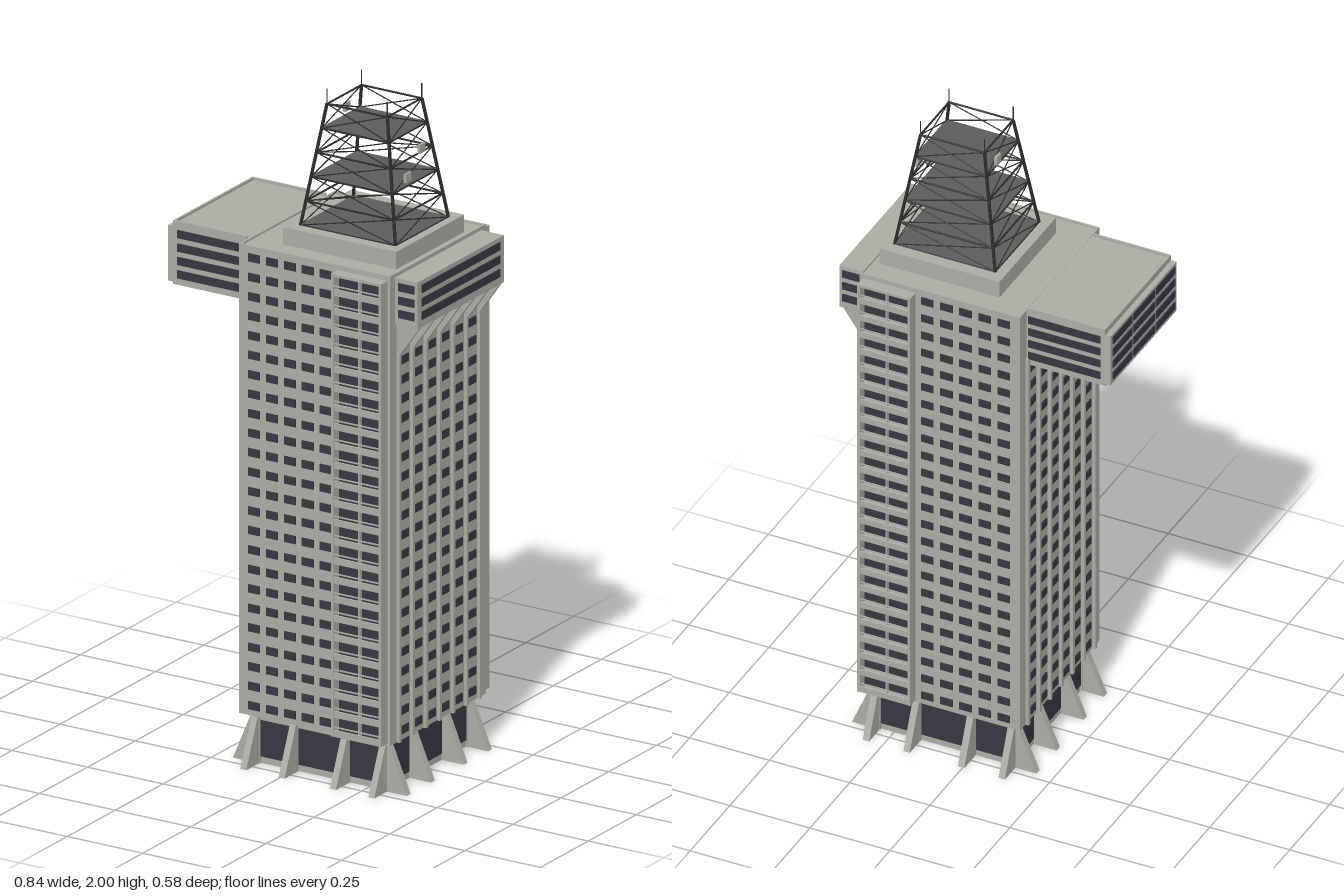
import * as THREE from 'three';
import { mergeGeometries } from 'three/addons/utils/BufferGeometryUtils.js';

const CX = 0.09, CZ = -0.005; // tower axis
const FLOORS = 24, PITCH = 0.0581, FIRST = 0.18;

const makeMat = (name, color) => Object.assign(new THREE.MeshStandardMaterial({ color }), { name });

// box from min/max limits
function box(x0, x1, y0, y1, z0, z1) {
  return new THREE.BoxGeometry(x1 - x0, y1 - y0, z1 - z0)
    .translate((x0 + x1) / 2, (y0 + y1) / 2, (z0 + z1) / 2);
}

// round bar between two points
function bar(a, b, r) {
  const d = new THREE.Vector3().subVectors(b, a);
  const q = new THREE.Quaternion().setFromUnitVectors(new THREE.Vector3(0, 1, 0), d.clone().normalize());
  const m = a.clone().add(b).multiplyScalar(0.5);
  return new THREE.CylinderGeometry(r, r, d.length(), 5).applyQuaternion(q).translate(m.x, m.y, m.z);
}

// upright plate with an (x, y) outline, centred on z = 0
function plate(points, depth) {
  const shape = new THREE.Shape(points.map(p => new THREE.Vector2(...p)));
  return new THREE.ExtrudeGeometry(shape, { depth, bevelEnabled: false }).translate(0, 0, -depth / 2);
}

export function createModel() {
  const root = new THREE.Group();
  root.name = 'towerBlock';
  const concrete = makeMat('concrete', 0xacaca5);
  const glass = makeMat('darkGlass', 0x383642);
  const steel = makeMat('darkSteel', 0x2e2e2f);
  const deckGrey = makeMat('deckGrey', 0x5c5c5c);
  const add = (name, mat, geos) => {
    const mesh = new THREE.Mesh(mergeGeometries(geos), mat);
    mesh.name = name;
    root.add(mesh);
  };

  // lobby with glazing and splayed fins on all four sides
  add('lobby', concrete, [box(CX - 0.215, CX + 0.215, 0, 0.15, CZ - 0.215, CZ + 0.215)]);
  const fins = [], lobbyGlass = [];
  for (let k = 0; k < 4; k++) {
    const place = g => g.rotateY(k * Math.PI / 2).translate(CX, 0, CZ);
    for (const t of [-0.212, -0.085, 0.085, 0.212]) {
      fins.push(place(plate([[0.2, 0], [0.288, 0], [0.225, 0.15], [0.2, 0.15]], 0.02).translate(0, 0, t)));
    }
    for (const [a, b] of [[-0.2, -0.097], [-0.073, 0.073], [0.097, 0.2]]) {
      lobbyGlass.push(place(box(0.213, 0.218, 0.02, 0.128, a, b)));
    }
  }
  add('lobbyFins', concrete, fins);
  add('lobbyWindows', glass, lobbyGlass);

  // main shaft and roof rim
  add('shaft', concrete, [box(-0.16, 0.34, 0.15, 1.545, CZ - 0.25, CZ + 0.25)]);
  const rim = [];
  for (const s of [-1, 1]) {
    rim.push(box(-0.16, 0.34, 1.545, 1.551, CZ + s * 0.247 - 0.003, CZ + s * 0.247 + 0.003));
    rim.push(box(CX + s * 0.247 - 0.003, CX + s * 0.247 + 0.003, 1.545, 1.551, CZ - 0.244, CZ + 0.244));
  }
  add('roofRim', concrete, rim);

  // windows on all faces
  const frontBack = [], sides = [];
  for (let f = 0; f < FLOORS; f++) {
    const y = FIRST + f * PITCH;
    for (const s of [-1, 1]) {
      const z = CZ + s * 0.25;
      for (let c = 0; c < 5; c++) {
        const x = -0.11 + c * 0.0595;
        frontBack.push(box(x - 0.019, x + 0.019, y - 0.012, y + 0.012, z - 0.003, z + 0.003));
      }
      if (y > 1.39) continue;
      const x = CX + s * 0.25;
      for (let c = 0; c < 6; c++) {
        const zc = CZ + (c - 2.5) * 0.07;
        sides.push(box(x - 0.004, x + 0.004, y - 0.012, y + 0.012, zc - 0.019, zc + 0.019));
      }
    }
  }
  add('frontAndBackWindows', glass, frontBack);
  add('sideWindows', glass, sides);

  // vertical ribs on both sides, with brackets under the right overhang
  const ribs = [], brackets = [];
  for (let i = -3; i <= 3; i++) {
    const z = CZ + i * 0.07;
    for (const s of [-1, 1]) {
      const x = CX + s * 0.25;
      ribs.push(box(x - 0.01, x + 0.01, 0.15, 1.39, z - 0.005, z + 0.005));
    }
    brackets.push(plate([[0.335, 1.29], [0.345, 1.3], [0.415, 1.4], [0.335, 1.4]], 0.01).translate(0, 0, z));
  }
  add('sideRibs', concrete, ribs);
  add('overhangBrackets', concrete, brackets);

  // balcony stacks, front and back
  const walls = [], parapets = [], balconyGlass = [], rails = [];
  for (const s of [-1, 1]) {
    const zBox = (x0, x1, y0, y1, a, b) =>
      box(x0, x1, y0, y1, Math.min(CZ + s * a, CZ + s * b), Math.max(CZ + s * a, CZ + s * b));
    for (const x of [0.17, 0.327]) walls.push(zBox(x - 0.004, x + 0.004, 0.155, 1.535, 0.245, 0.284));
    walls.push(zBox(0.246, 0.25, 0.155, 1.53, 0.245, 0.268));
    walls.push(zBox(0.166, 0.331, 1.528, 1.536, 0.245, 0.284));
    balconyGlass.push(zBox(0.174, 0.323, 0.16, 1.528, 0.248, 0.254));
    for (let f = 0; f < FLOORS; f++) {
      const y = 0.155 + f * PITCH * 0.985;
      parapets.push(zBox(0.172, 0.325, y, y + 0.006, 0.25, 0.282));
      parapets.push(zBox(0.172, 0.325, y, y + 0.019, 0.276, 0.282));
      rails.push(zBox(0.172, 0.325, y + 0.026, y + 0.03, 0.278, 0.281));
    }
  }
  add('balconyWalls', concrete, walls);
  add('balconyParapets', concrete, parapets);
  add('balconyRails', concrete, rails);
  add('balconyWindows', glass, balconyGlass);

  // right overhanging box with three window bands
  add('rightOverhang', concrete, [box(0.335, 0.415, 1.4, 1.54, -0.232, 0.22)]);
  const rightBands = [];
  for (const y of [1.435, 1.475, 1.515]) {
    rightBands.push(box(0.412, 0.418, y - 0.012, y + 0.012, -0.21, 0.2));
    for (const z of [-0.232, 0.22]) {
      rightBands.push(box(0.352, 0.405, y - 0.012, y + 0.012, z - 0.003, z + 0.003));
    }
  }
  add('rightOverhangWindows', glass, rightBands);

  // left projecting wing with four window bands and a thinner end bay
  add('leftWing', concrete, [
    box(-0.405, -0.155, 1.368, 1.55, -0.212, 0.203),
    box(-0.422, -0.4, 1.375, 1.54, -0.212, 0.203),
  ]);
  add('leftWingRim', concrete, [
    box(-0.405, -0.16, 1.55, 1.558, -0.212, -0.206),
    box(-0.405, -0.16, 1.55, 1.558, 0.197, 0.203),
    box(-0.405, -0.399, 1.55, 1.558, -0.206, 0.197),
  ]);
  const leftBands = [];
  for (const y of [1.4, 1.44, 1.48, 1.52]) {
    for (const z of [-0.212, 0.203]) {
      leftBands.push(box(-0.39, -0.165, y - 0.012, y + 0.012, z - 0.003, z + 0.003));
    }
    for (const [a, b] of [[-0.2, -0.08], [-0.07, 0.06], [0.07, 0.19]]) {
      leftBands.push(box(-0.425, -0.419, y - 0.012, y + 0.012, a, b));
    }
  }
  add('leftWingWindows', glass, leftBands);

  // roof plinth
  add('roofPlinth', concrete, [box(-0.06, 0.315, 1.54, 1.597, -0.182, 0.173)]);

  // tapering lattice mast
  const Y0 = 1.597, Y1 = 1.955, LEVELS = 5;
  const corner = (level, i) => {
    const t = level / LEVELS;
    const hx = 0.157 - 0.057 * t, hz = 0.138 - 0.048 * t;
    const [sx, sz] = [[-1, -1], [1, -1], [1, 1], [-1, 1]][i % 4];
    return new THREE.Vector3(0.13 + sx * hx, Y0 + (Y1 - Y0) * t, CZ + sz * hz);
  };
  const legs = [], braces = [];
  for (let i = 0; i < 4; i++) {
    const top = corner(LEVELS, i);
    legs.push(bar(corner(0, i), top, 0.005));
    legs.push(bar(top, top.clone().setY(2), 0.002));
    for (let l = 0; l <= LEVELS; l++) {
      braces.push(bar(corner(l, i), corner(l, i + 1), 0.003));
      if (l === LEVELS) continue;
      braces.push(bar(corner(l, i), corner(l + 1, i + 1), 0.0018));
      braces.push(bar(corner(l, i + 1), corner(l + 1, i), 0.0018));
    }
  }
  add('mastLegs', steel, legs);
  add('mastBraces', steel, braces);
  add('mastDecks', deckGrey, [0, 2, 4].map(l => {
    const a = corner(l, 0), b = corner(l, 2);
    return box(a.x, b.x, a.y - 0.002, a.y + 0.003, a.z, b.z);
  }));

  // small antenna panels
  add('antennaPanels', concrete, [[0.015, 1.905, -0.042], [0.26, 1.828, -0.045], [0.27, 1.77, 0.043]]
    .map(([x, y, z]) => box(x - 0.004, x + 0.004, y - 0.013, y + 0.013, z - 0.014, z + 0.014)));

  return root;
}
